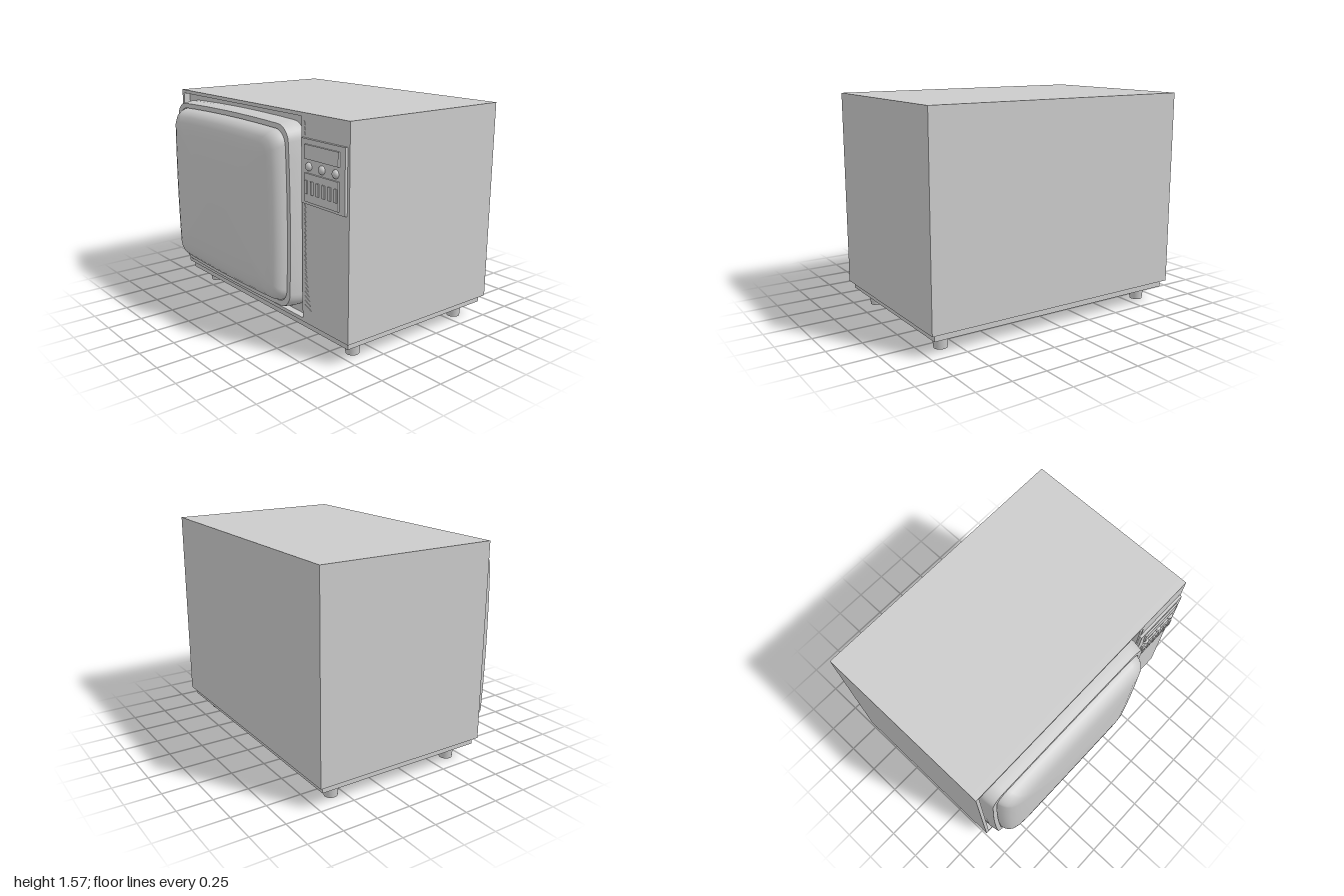
import * as THREE from 'three';
import { toCreasedNormals } from 'three/addons/utils/BufferGeometryUtils.js';

const material = new THREE.MeshStandardMaterial({ color: 0xcccccc });

function add(parent, name, geometry, x = 0, y = 0, z = 0) {
  const mesh = new THREE.Mesh(geometry, material);
  mesh.name = name;
  mesh.position.set(x, y, z);
  parent.add(mesh);
  return mesh;
}

// Box given by its limits on each axis
function block(parent, name, x0, x1, y0, y1, z0, z1) {
  return add(parent, name, new THREE.BoxGeometry(x1 - x0, y1 - y0, z1 - z0),
    (x0 + x1) / 2, (y0 + y1) / 2, (z0 + z1) / 2);
}

function rectangle(Type, x0, x1, y0, y1) {
  const r = new Type();
  r.moveTo(x0, y0);
  r.lineTo(x1, y0);
  r.lineTo(x1, y1);
  r.lineTo(x0, y1);
  r.closePath();
  return r;
}

// Counter-clockwise rounded rectangle whose sides bulge slightly
function tubeOutline(inset) {
  const w = 0.742 - inset, h = 0.645 - inset;
  const r = Math.max(0.11 - inset * 0.3, 0.012);
  const radius = Math.min(r, h * 0.9);
  const points = [];
  const corners = [[1, 1], [-1, 1], [-1, -1], [1, -1]];
  const put = (x, y) => points.push([
    x * (1 - 0.025 * (y / h) ** 2),
    y * (1 - 0.025 * (x / w) ** 2),
  ]);
  corners.forEach(([sx, sy], k) => {
    for (let i = 0; i <= 8; i++) {
      const a = (k + i / 8) * Math.PI / 2;
      put(sx * (w - radius) + radius * Math.cos(a), sy * (h - radius) + radius * Math.sin(a));
    }
    // points along the straight side up to the next corner
    const [nx, ny] = corners[(k + 1) % 4];
    const a = (k + 1) * Math.PI / 2;
    for (let i = 1; i < 8; i++) {
      const t = i / 8;
      put((sx + (nx - sx) * t) * (w - radius) + radius * Math.cos(a),
        (sy + (ny - sy) * t) * (h - radius) + radius * Math.sin(a));
    }
  });
  return points;
}

// Skin through outlines given as [inset, z], optionally closed at the front
function loft(sections, capZ) {
  const positions = [], index = [];
  let n = 0;
  for (const [inset, z] of sections) {
    const ring = tubeOutline(inset);
    n = ring.length;
    ring.forEach(([x, y]) => positions.push(x, y, z));
  }
  for (let s = 0; s < sections.length - 1; s++) {
    for (let j = 0; j < n; j++) {
      const a = s * n + j, b = s * n + (j + 1) % n;
      index.push(a, b, b + n, a, b + n, a + n);
    }
  }
  if (capZ !== undefined) {
    const centre = positions.length / 3, last = centre - n;
    positions.push(0, 0, capZ);
    for (let j = 0; j < n; j++) index.push(last + j, last + (j + 1) % n, centre);
  }
  const geometry = new THREE.BufferGeometry();
  geometry.setAttribute('position', new THREE.Float32BufferAttribute(positions, 3));
  geometry.setIndex(index);
  geometry.computeVertexNormals();
  return geometry;
}

export function createModel() {
  const model = new THREE.Group();
  model.name = 'television';

  // Cabinet with a shallow recess around the screen
  block(model, 'cabinet', -1, 1, 0.155, 1.565, -0.75, 0.51);
  const face = rectangle(THREE.Shape, -1, 1, 0.155, 1.565);
  face.holes.push(rectangle(THREE.Path, -0.975, 0.535, 0.18, 1.54));
  add(model, 'cabinetFront', new THREE.ExtrudeGeometry(face, { depth: 0.05, bevelEnabled: false }), 0, 0, 0.51);

  // Plinth and tapered feet
  block(model, 'plinth', -0.97, 0.97, 0.105, 0.155, -0.72, 0.535);
  for (const x of [-0.855, 0.855]) {
    for (const z of [0.395, -0.585]) {
      add(model, 'foot', new THREE.CylinderGeometry(0.056, 0.046, 0.105, 32), x, 0.0525, z);
    }
  }

  // Screen surround and domed glass
  const screen = new THREE.Group();
  screen.name = 'screen';
  screen.position.set(-0.222, 0.86, 0);
  model.add(screen);
  add(screen, 'screenSurround', toCreasedNormals(loft([
    [0, 0.51], [0, 0.56], [0.006, 0.6], [0.012, 0.635], [0.046, 0.635], [0.05, 0.6],
  ]), 0.6));
  add(screen, 'screenGlass', loft([
    [0.046, 0.6], [0.05, 0.635], [0.06, 0.665], [0.075, 0.69], [0.1, 0.711], [0.14, 0.726],
    [0.2, 0.735], [0.3, 0.742], [0.45, 0.747], [0.6, 0.749],
  ], 0.75));

  // Control panel
  const controls = new THREE.Group();
  controls.name = 'controls';
  model.add(controls);
  block(controls, 'controlPanel', 0.555, 0.98, 0.99, 1.41, 0.56, 0.579);
  block(controls, 'displayPlate', 0.6, 0.93, 1.285, 1.377, 0.579, 0.591);
  block(controls, 'buttonPlate', 0.6, 0.93, 1.01, 1.195, 0.579, 0.591);
  for (let i = 0; i < 6; i++) {
    const x = 0.623 + i * 0.0575;
    block(controls, 'button', x - 0.012, x + 0.012, 1.065, 1.15, 0.591, 0.6);
  }
  for (const x of [0.635, 0.765, 0.895]) {
    const knob = add(controls, 'knob', new THREE.SphereGeometry(0.028, 28, 18), x, 1.237, 0.579);
    knob.scale.z = 0.85;
  }

  // Sliver-shaped grille slats that widen toward the bottom
  for (let y = 0.26; y < 1.51; y += 0.0315) {
    if (y > 0.965 && y < 1.41) continue;
    const width = 0.014 + 0.055 * Math.max(0, 1 - (y - 0.26) / 0.5) ** 2.5;
    const slat = new THREE.Shape();
    slat.moveTo(0, 0);
    slat.lineTo(width, 0);
    slat.lineTo(0.004, 0.025);
    slat.lineTo(0, 0.025);
    slat.closePath();
    add(model, 'grilleSlat', new THREE.ExtrudeGeometry(slat, { depth: 0.003, bevelEnabled: false }), 0.562, y, 0.56);
  }
  return model;
}
